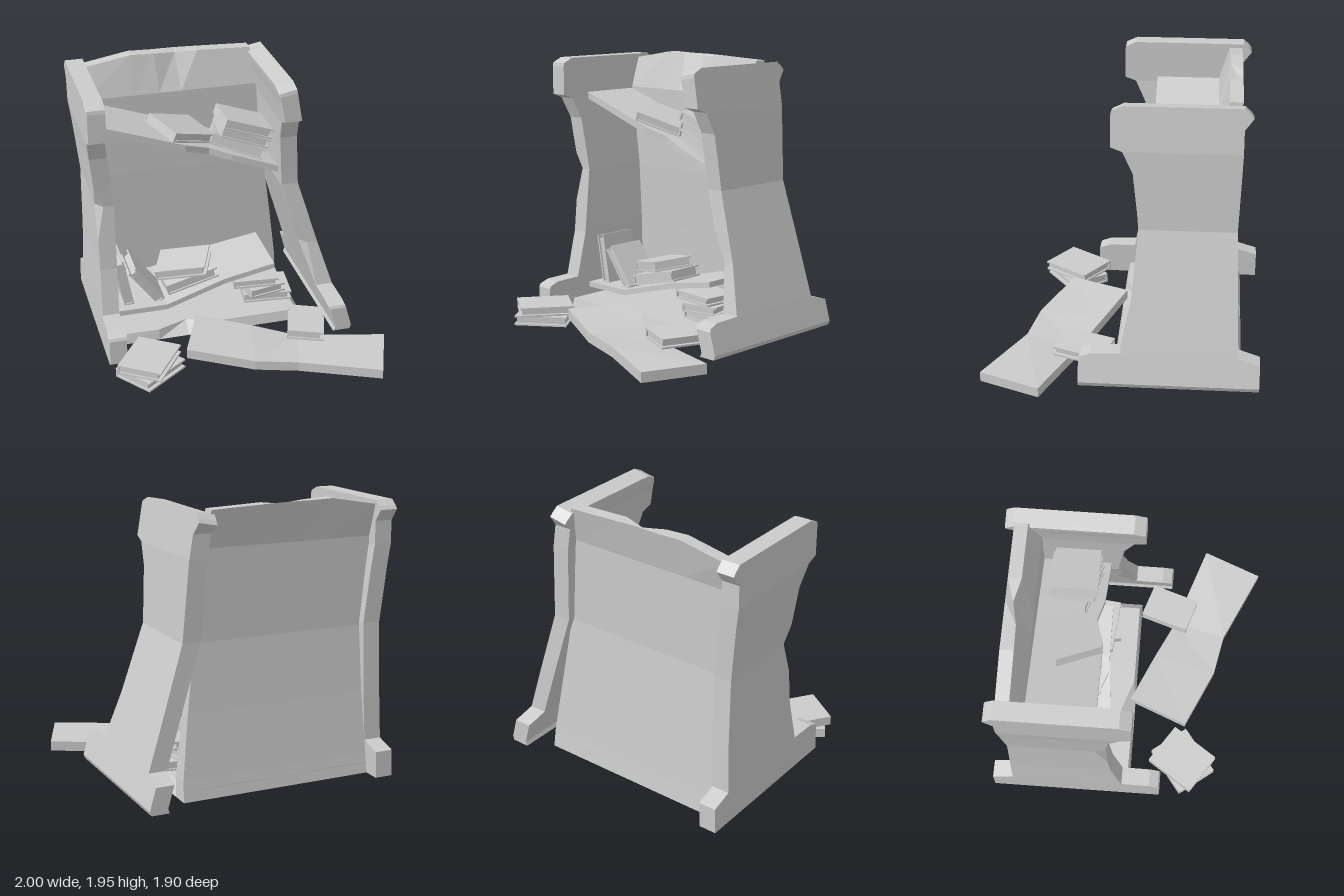
import * as THREE from 'three';

const material = new THREE.MeshStandardMaterial({ color: 0xcccccc, flatShading: true });

// Skins a row of equal-length rings and closes both ends; winding is fixed by signed volume.
function loft(name, rings) {
  const n = rings[0].length, points = rings.flat(), index = [];
  for (let r = 0; r < rings.length - 1; r++) {
    for (let i = 0; i < n; i++) {
      const a = r * n + i, b = r * n + (i + 1) % n;
      index.push(a, b, b + n, a, b + n, a + n);
    }
  }
  // Caps are strips between the first and second half of the ring
  const e = (rings.length - 1) * n;
  for (let i = 0; i < Math.ceil(n / 2) - 1; i++) {
    const a = i, b = i + 1, c = n - 2 - i, d = n - 1 - i;
    index.push(a, d, c, e + a, e + c, e + d);
    if (b !== c) index.push(a, c, b, e + a, e + b, e + c);
  }
  let volume = 0;
  const v = (i) => new THREE.Vector3(...points[index[i]]);
  for (let i = 0; i < index.length; i += 3) volume += v(i).dot(v(i + 1).cross(v(i + 2)));
  if (volume < 0) index.reverse();
  const geometry = new THREE.BufferGeometry();
  geometry.setAttribute('position', new THREE.Float32BufferAttribute(points.flat(), 3));
  geometry.setIndex(index);
  const flat = geometry.toNonIndexed();
  flat.computeVertexNormals();
  const mesh = new THREE.Mesh(flat, material);
  mesh.name = name;
  return mesh;
}

// Side outline: height, front z, back z
const sideRows = [
  [0.03, 0.28, -0.95], [0.06, 0.28, -0.95], [0.215, 0.28, -0.95], [0.235, 0.27, -0.88],
  [0.26, 0.2, -0.8], [0.265, 0, -0.8], [0.6, -0.07, -0.79], [0.84, -0.09, -0.78],
  [1.08, -0.11, -0.77], [1.2, -0.1, -0.775], [1.47, -0.07, -0.785], [1.62, 0, -0.79],
  [1.65, 0.08, -0.79], [1.78, 0.08, -0.79], [1.86, 0.08, -0.85], [1.885, 0.075, -0.83], [1.92, 0, -0.79],
];

// Piecewise-linear lookup in [key, value] pairs
function lookup(pairs, key) {
  const k = pairs.findIndex((p) => p[0] >= key);
  if (k <= 0) return pairs[k < 0 ? pairs.length - 1 : 0][1];
  const [a, b] = [pairs[k - 1], pairs[k]];
  return a[1] + (b[1] - a[1]) * (key - a[0]) / (b[0] - a[0]);
}

// Bowed side panel with a chip in its -x front edge; drop lowers the -x side of the top
function sidePanel(name, centres, chipY, drop) {
  const half = 0.063;
  return loft(name, sideRows.map(([y, zf, zb]) => {
    const cx = lookup(centres, y);
    const chip = y === chipY ? 0.05 : 0.004;
    const low = y - (y > 1.8 ? drop : 0);
    return [
      [cx + half, y, zb], [cx + half, y, zf], [cx - half + chip, low, zf],
      [cx - half, low, zf - chip * 1.3], [cx - half, low, zb],
    ];
  }));
}

// Plank running along x: stations of [x, bottom y, back z, front z]
function shelf(name, thickness, stations) {
  return loft(name, stations.map(([x, y, zb, zf]) => [
    [x, y, zb], [x, y, zf], [x, y + thickness, zf], [x, y + thickness, zb],
  ]));
}

// Closed book: spine at local -x, pages set in from the covers
function book(name, [x, y, z], [w, t, h], yaw, tilt) {
  const group = new THREE.Group();
  const cover = 0.013;
  const part = (label, sx, sy, sz, px, py) => {
    const mesh = new THREE.Mesh(new THREE.BoxGeometry(sx, sy, sz), material);
    mesh.position.set(px, py, 0);
    mesh.name = label;
    group.add(mesh);
  };
  for (const s of [1, -1]) part('cover', w, cover, h, 0, s * (t - cover) / 2);
  part('spine', cover, t - 2 * cover, h, (cover - w) / 2, 0);
  part('pages', w - 0.035, t - 2 * cover, h - 0.025, -0.008, 0);
  group.rotation.set(0, yaw, tilt, 'ZYX');
  group.position.set(x, y, z);
  group.name = name;
  return group;
}

// Back board: rows of [y, left x, right x, back z, front z], with a worn top edge
function backBoard() {
  const rows = [
    [0.03, -0.86, 0.55, -0.83, -0.7], [0.17, -0.86, 0.545, -0.81, -0.69],
    [0.6, -0.85, 0.49, -0.76, -0.67], [1.06, -0.85, 0.425, -0.715, -0.64],
    [1.67, -0.89, 0.37, -0.715, -0.62], [1.9, -0.89, 0.33, -0.78, -0.69],
  ];
  const stops = [0, 0.28, 0.42, 0.55, 0.68, 1];
  const worn = [-0.01, 0.05, 0.045, 0.045, 0.04, 0.025];
  const nick = [0, 0, 0.005, 0.04, 0, 0];
  return loft('backBoard', rows.map(([y, xl, xr, zb, zf], r) => {
    const top = r === rows.length - 1 ? 1 : 0;
    const edge = (z, cut) => stops.map((t, i) => [
      xl + (xr - xl) * t, y + top * (worn[i] - cut * nick[i] * 0.5), z - cut * top * nick[i]]);
    return [...edge(zf, 1), ...edge(zb, 0).reverse()];
  }));
}

// Base with a chipped front edge and a sloping broken end at +x
function plinth() {
  const ring = (y, right, fronts) => {
    const xs = [-0.86, -0.55, -0.33, -0.1, right];
    return [...xs.map((x, i) => [x, y, fronts[i]]), ...xs.map((x) => [x, y, -0.82]).reverse()];
  };
  return loft('plinth', [
    ring(0.03, 0.55, [0.055, 0.055, 0.055, 0.055, 0.055]),
    ring(0.105, 0.49, [0.035, 0.04, -0.045, 0.035, 0.035]),
  ]);
}

export function createModel() {
  const model = new THREE.Group();
  model.name = 'brokenBookcase';

  // Case
  model.add(
    sidePanel('rightPanel', [[0.03, -0.898], [0.26, -0.892], [0.6, -0.88], [1.08, -0.875],
      [1.47, -0.915], [1.62, -0.935], [1.92, -0.936]], 1.08, 0),
    sidePanel('leftPanel', [[0.03, 0.765], [0.06, 0.777], [0.26, 0.72], [0.6, 0.615], [1.08, 0.467],
      [1.62, 0.427], [1.92, 0.377]], 0.6, 0.024),
    backBoard(),
    plinth(),
  );

  // Collapsed shelves
  model.add(
    shelf('upperShelf', 0.05, [[-0.88, 1.61, -0.68, -0.16], [-0.28, 1.4, -0.68, -0.165],
      [-0.1, 1.335, -0.68, -0.22], [0.06, 1.28, -0.68, -0.18], [0.42, 1.15, -0.68, -0.16]]),
    shelf('lowerShelf', 0.04, [[-0.84, 0.165, -0.7, -0.12], [-0.45, 0.165, -0.7, -0.12],
      [0.0, 0.29, -0.68, -0.16], [0.38, 0.365, -0.66, -0.16]]),
  );

  // Fallen plank in front: back edge x, y, z; front edge x, y, z
  const plank = [
    [-0.27, 0.1, 0.02, -0.44, 0.1, 0.44], [0.1, 0.05, 0.18, 0, 0.055, 0.64],
    [0.4, 0, 0.32, 0.3, 0.03, 0.7], [1, 0.035, 0.53, 0.83, 0.035, 0.95],
  ];
  model.add(loft('fallenPlank', plank.map(([xa, ya, za, xb, yb, zb]) => [
    [xa, ya, za], [xb, yb, zb], [xb, yb + 0.07, zb], [xa, ya + 0.07, za],
  ])));

  // Books: position, size, yaw, tilt
  const books = [
    ['shelfBook', [-0.26, 1.48, -0.39], [0.38, 0.07, 0.32], 0.44, -0.35],
    ['shelfBook', [0.16, 1.335, -0.4], [0.4, 0.085, 0.3], -0.25, -0.35],
    ['shelfBook', [0.19, 1.41, -0.4], [0.36, 0.07, 0.34], -0.08, -0.34],
    ['shelfBook', [0.2, 1.485, -0.38], [0.37, 0.075, 0.31], 0, -0.33],
    ['standingBook', [-0.75, 0.385, -0.34], [0.37, 0.07, 0.3], 0, 1.75],
    ['leaningBook', [-0.585, 0.34, -0.34], [0.35, 0.07, 0.3], 0, 2.21],
    ['stackedBook', [-0.24, 0.315, -0.36], [0.4, 0.08, 0.3], 0.05, 0.23],
    ['stackedBook', [-0.27, 0.4, -0.36], [0.38, 0.075, 0.3], -0.38, 0.2],
    ['plinthBook', [0.34, 0.137, -0.28], [0.36, 0.065, 0.3], -0.1, 0],
    ['plinthBook', [0.29, 0.202, -0.28], [0.28, 0.065, 0.34], 0.2, 0],
    ['plinthBook', [0.25, 0.267, -0.27], [0.34, 0.06, 0.28], -0.1, 0],
    ['floorBook', [-0.7, 0.066, 0.44], [0.31, 0.07, 0.38], -0.93, 0],
    ['floorBook', [-0.705, 0.137, 0.435], [0.32, 0.068, 0.38], -0.6, 0],
    ['plankBook', [0.49, 0.13, 0.27], [0.26, 0.07, 0.36], -0.32, -0.06],
  ];
  for (const entry of books) model.add(book(...entry));
  return model;
}
